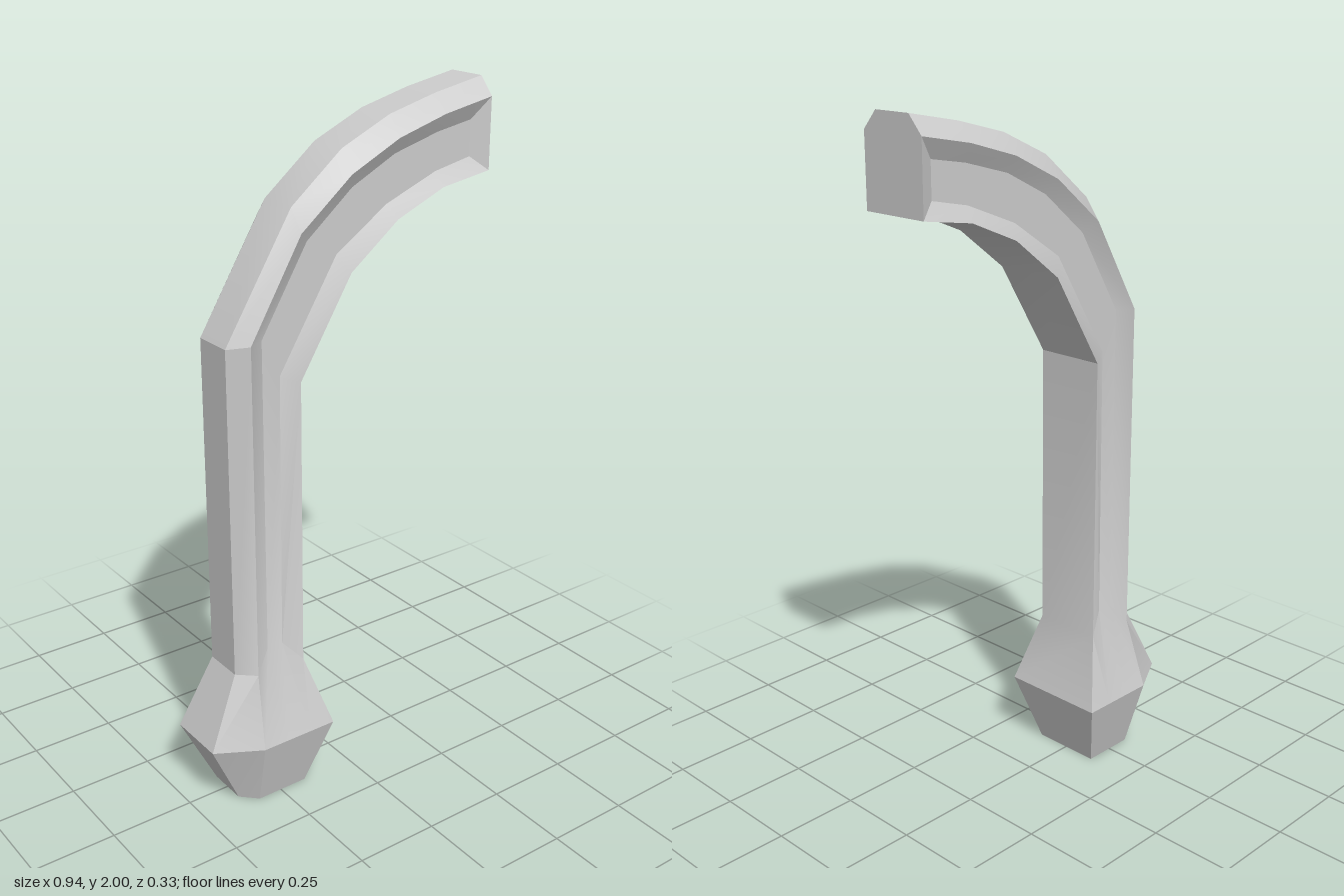
import * as THREE from 'three';
import { toCreasedNormals } from 'three/addons/utils/BufferGeometryUtils.js';

// Cross-sections from foot to tip. Each lists [x, y] for five rails on one side:
// outer ridge, upper corner, groove top, groove bottom, inner corner.
// half holds the half-width (z) of each rail.
const STALK = [0.06, 0.105, 0.079, 0.079, 0.105];
const SOLID = [0.06, 0.105, 0.105, 0.105, 0.105];
const BELT = [0.09, 0.163, 0.163, 0.163, 0.163];
const TIP = [[0.47, 2], [0.47, 1.95]];

const SECTIONS = [
  // foot, belt and neck of the base
  { half: SOLID, rails: [[-0.37, 0], [-0.325, 0], [-0.27, 0], [-0.22, 0], [-0.165, 0]] },
  { half: BELT, rails: [[-0.47, 0.21], [-0.34, 0.21], [-0.26, 0.21], [-0.18, 0.21], [-0.1, 0.21]] },
  { half: STALK, rails: [[-0.37, 0.42], [-0.32, 0.42], [-0.27, 0.48], [-0.22, 0.48], [-0.165, 0.42]] },
  // elbow, where the inner rails turn around a single point
  { half: STALK, rails: [[-0.37, 1.39], [-0.32, 1.4], [-0.27, 1.4], [-0.215, 1.29], [-0.165, 1.27]] },
  { half: STALK, rails: [[-0.16, 1.73], [-0.16, 1.67], [-0.125, 1.64], [-0.215, 1.29], [-0.165, 1.27]] },
  // curved arm
  { half: STALK, rails: [[0, 1.86], [0, 1.8], [0.02, 1.76], [-0.03, 1.59], [0, 1.54]] },
  { half: STALK, rails: [[0.155, 1.93], [0.155, 1.875], [0.16, 1.83], [0.135, 1.7], [0.155, 1.66]] },
  { half: STALK, rails: [[0.31, 1.97], [0.31, 1.92], [0.305, 1.87], [0.3, 1.765], [0.31, 1.725]] },
  // groove closes with a bevel before the tip
  { half: STALK, rails: [...TIP, [0.42, 1.89], [0.42, 1.79], [0.47, 1.75]] },
  { half: SOLID, rails: [...TIP, [0.47, 1.95], [0.47, 1.75], [0.47, 1.75]] },
];

// Full closed loop of a section: front rails, then the mirrored back rails
function loop({ rails, half }) {
  const side = (s) => rails.map(([x, y], i) => new THREE.Vector3(x, y, s * half[i]));
  return [...side(1), ...side(-1).reverse()];
}

function loft(loops) {
  const pos = [];
  const tri = (a, b, c) => {
    if (new THREE.Triangle(a, b, c).getArea() < 1e-7) return;
    for (const p of [a, b, c]) pos.push(p.x, p.y, p.z);
  };
  for (let j = 0; j < loops.length - 1; j++) {
    const lo = loops[j], hi = loops[j + 1], n = lo.length;
    for (let k = 0; k < n; k++) {
      const m = (k + 1) % n;
      // mirror the diagonal so both sides match
      if (k < n / 2) {
        tri(lo[k], lo[m], hi[m]);
        tri(lo[k], hi[m], hi[k]);
      } else {
        tri(lo[k], lo[m], hi[k]);
        tri(lo[m], hi[m], hi[k]);
      }
    }
  }
  // end caps
  const first = loops[0], last = loops[loops.length - 1];
  for (let k = 1; k < first.length - 1; k++) {
    tri(first[0], first[k + 1], first[k]);
    tri(last[0], last[k], last[k + 1]);
  }
  const geo = new THREE.BufferGeometry();
  geo.setAttribute('position', new THREE.Float32BufferAttribute(pos, 3));
  return toCreasedNormals(geo, 0.4);
}

export function createModel() {
  const group = new THREE.Group();
  const material = new THREE.MeshStandardMaterial({ color: 0xcccccc });

  // The base and the grooved arm share one continuous surface
  const post = new THREE.Mesh(loft(SECTIONS.map(loop)), material);
  post.name = 'curvedPost';
  group.add(post);
  return group;
}
